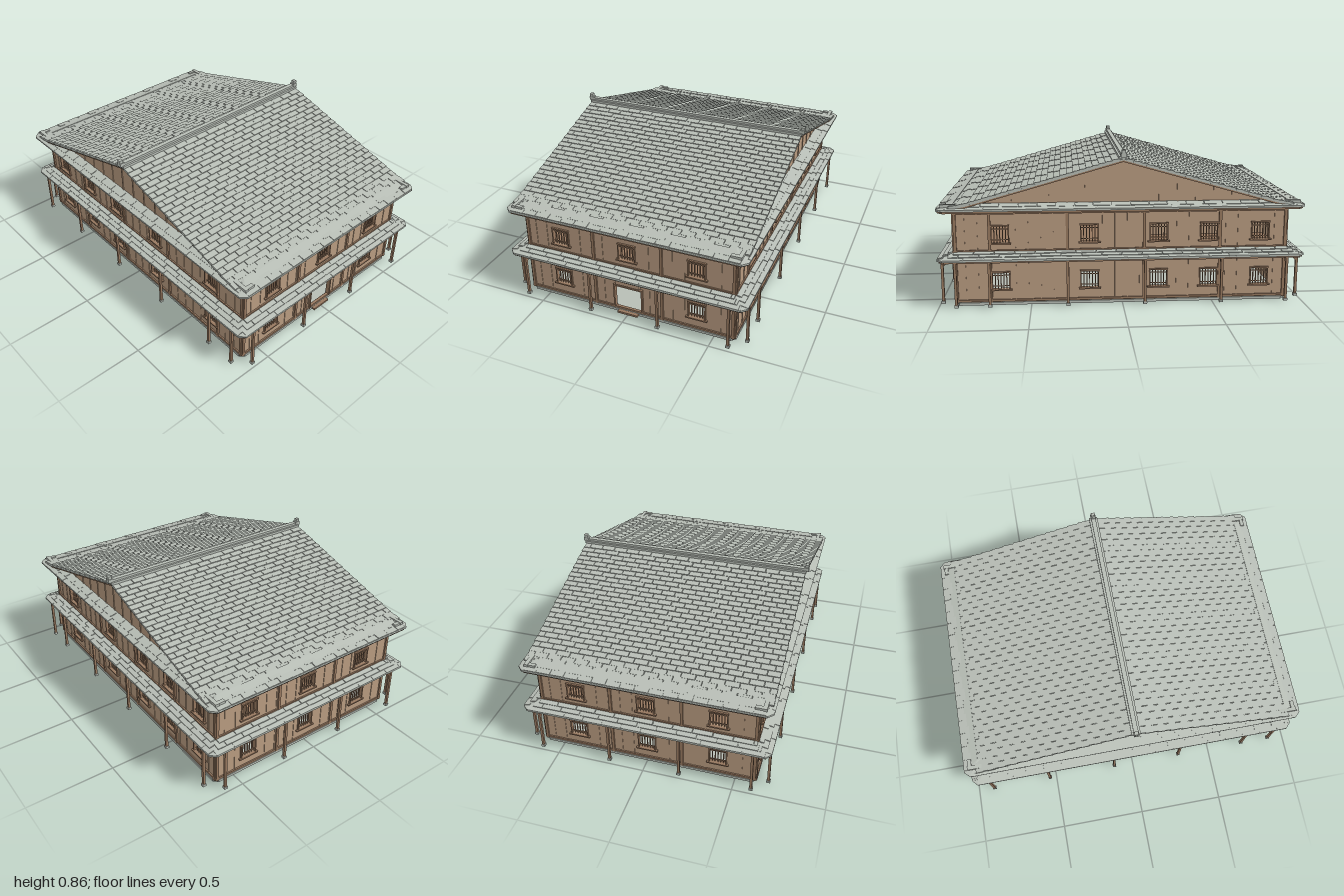
import * as THREE from 'three';
import { mergeGeometries } from 'three/addons/utils/BufferGeometryUtils.js';

const HX = 0.61, HZ = 0.91; // half size of the wall box

function box(w, h, d, x, y, z) {
  return new THREE.BoxGeometry(w, h, d).translate(x, y, z);
}

// Closed ring around the building; profile points are [offset from wall, y, corner cut],
// going up the outside, in over the top, down the inside and out underneath.
function ringGeometry(profile) {
  const outline = ([o, y, c]) => {
    const x = HX + o, z = HZ + o;
    return [[-x + c, z], [x - c, z], [x, z - c], [x, -z + c], [x - c, -z], [-x + c, -z], [-x, -z + c], [-x, z - c]]
      .map(([a, b]) => new THREE.Vector3(a, y, b));
  };
  const rings = profile.map(outline), pos = [];
  for (let j = 0; j < rings.length; j++) {
    const lo = rings[j], hi = rings[(j + 1) % rings.length];
    for (let i = 0; i < 8; i++) {
      const k = (i + 1) % 8;
      for (const p of [lo[i], lo[k], hi[k], lo[i], hi[k], hi[i]]) pos.push(p.x, p.y, p.z);
    }
  }
  const g = new THREE.BufferGeometry();
  g.setAttribute('position', new THREE.Float32BufferAttribute(pos, 3));
  g.computeVertexNormals();
  return g;
}

// One course of overlapping tiles running along x, with slightly uneven heights.
function tileRow(len, width, depth, y, z, tilt, row) {
  const tiles = [], shift = row % 2 ? width / 2 : 0;
  for (let a = -len / 2 - shift, i = 0; a < len / 2 - 0.01; a += width, i++) {
    const x0 = Math.max(a, -len / 2), x1 = Math.min(a + width, len / 2);
    if (x1 - x0 < 0.01) continue;
    const lift = ((i * 7 + row * 3) % 3) * 0.001;
    tiles.push(new THREE.BoxGeometry(x1 - x0 - 0.003, 0.011, depth).rotateX(tilt)
      .translate((x0 + x1) / 2, y + lift, z));
  }
  return tiles;
}

export function createModel() {
  const mat = (name, color) => Object.assign(new THREE.MeshStandardMaterial({ color }), { name });
  const plaster = mat('wall boards', 0xb89b80);
  const wood = mat('timber frame', 0x987960);
  const tile = mat('grey tile', 0xb8beb6);
  const model = new THREE.Group();
  model.name = 'house';
  const add = (parent, name, geo, material) => {
    const m = new THREE.Mesh(Array.isArray(geo) ? mergeGeometries(geo) : geo, material);
    m.name = name;
    parent.add(m);
    return m;
  };

  // Base and floors
  add(model, 'foundation', ringGeometry([[0.008, 0, 0.025], [0.008, 0.015, 0.025], [-0.02, 0.015, 0], [-0.02, 0, 0]]), tile);
  add(model, 'groundFloor', box(1.19, 0.016, 1.79, 0, 0.008, 0), tile);
  add(model, 'upperFloor', box(1.19, 0.012, 1.79, 0, 0.275, 0), wood);
  add(model, 'doorStep', box(0.12, 0.012, 0.025, 0, 0.008, HZ + 0.015), wood);

  // Inner partitions
  for (const y of [0.145, 0.4]) {
    for (const s of [-1, 1]) add(model, 'partition', box(0.4, 0.24, 0.01, s * 0.4, y, 0), plaster);
  }
  add(model, 'upperPartition', box(0.01, 0.24, 0.8, 0.2, 0.4, -0.5), plaster);
  add(model, 'stairRail', new THREE.BoxGeometry(0.01, 0.012, 0.32).rotateX(0.45).translate(0.1, 0.14, 0.64), wood);

  // A facade is made facing +z and turned to its side
  const sideZ = [0.665, 0.18, -0.2, -0.48, -0.765];
  const postZ = [0.9, 0.72, 0.3, -0.12, -0.54, -0.9];
  const sides = [
    { name: 'front', turn: 0, half: HX, out: HZ, win: [-0.4, 0, 0.4], posts: [-0.6, -0.2, 0.2, 0.6], door: true },
    { name: 'left', turn: Math.PI / 2, half: HZ, out: HX, win: sideZ.map(z => -z), posts: postZ.map(z => -z) },
    { name: 'back', turn: Math.PI, half: HX, out: HZ, win: [-0.4, 0, 0.4], posts: [-0.6, -0.2, 0.2, 0.6] },
    { name: 'right', turn: -Math.PI / 2, half: HZ, out: HX, win: sideZ, posts: postZ },
  ];
  for (const s of sides) {
    const g = new THREE.Group();
    g.name = s.name + 'Facade';
    g.rotation.y = s.turn;
    model.add(g);
    const w = s.half - (s.half === HZ ? 0.012 : 0), o = s.out;

    // Wall with openings
    const shape = new THREE.Shape([[-w, 0.012], [w, 0.012], [w, 0.56], [-w, 0.56]].map(p => new THREE.Vector2(...p)));
    const hole = (x0, x1, y0, y1) => shape.holes.push(new THREE.Path(
      [[x0, y0], [x0, y1], [x1, y1], [x1, y0]].map(p => new THREE.Vector2(...p))));
    const windows = [], frames = [];
    for (const u of s.win) {
      for (const y of [0.135, 0.395]) {
        if (!(s.door && u === 0 && y < 0.2)) windows.push([u, y]);
      }
    }
    for (const [u, y] of windows) {
      hole(u - 0.047, u + 0.047, y - 0.046, y + 0.046);
      for (const e of [-1, 1]) {
        frames.push(box(0.007, 0.1, 0.024, u + e * 0.048, y, o - 0.004));
        frames.push(box(e < 0 ? 0.122 : 0.106, 0.008, e < 0 ? 0.034 : 0.026, u, y + e * 0.05, o - 0.003));
        frames.push(box(0.094, 0.004, 0.005, u, y + e * 0.03, o - 0.005));
      }
      for (let i = -2; i <= 2; i++) frames.push(box(0.005, 0.092, 0.006, u + i * 0.0155, y, o - 0.006));
    }
    if (s.door) hole(-0.08, 0.08, 0.022, 0.17);
    add(g, s.name + 'Wall', new THREE.ExtrudeGeometry(shape, { depth: 0.014, bevelEnabled: false })
      .translate(0, 0, o - 0.014), plaster);
    add(g, 'latticeWindows', frames, wood);

    // Board strips, left out where there are openings
    const strips = [];
    for (let u = -s.half + 0.055; u < s.half - 0.03; u += 0.068) {
      if (s.win.some(v => Math.abs(u - v) < 0.066 + (s.door && v === 0 ? 0.03 : 0))) continue;
      for (const y of [0.14, 0.41]) strips.push(box(0.006, 0.225, 0.004, u, y, o + 0.001));
    }
    add(g, 'boardStrips', strips, plaster);

    // Sills, beams and wall posts
    const timber = [[0.025, 0.012], [0.258, 0.014], [0.305, 0.012], [0.517, 0.018]]
      .map(([y, h]) => box(s.half * 2 + 0.01, h, 0.016, 0, y, o));
    const uprights = s.half === HX ? [-0.604, -0.2, 0.2, 0.604] : [-0.904, ...s.posts.slice(1, -1), 0.904];
    for (const u of uprights) timber.push(box(0.016, 0.51, 0.018, u, 0.27, o));
    add(g, 'timberFrame', timber, wood);

    // Veranda posts with stone feet and braces
    const posts = [], feet = [];
    for (const u of s.posts) {
      posts.push(box(0.014, 0.236, 0.014, u, 0.142, o + 0.07));
      posts.push(new THREE.BoxGeometry(0.01, 0.05, 0.01).rotateX(-0.75).translate(u, 0.237, o + 0.053));
      posts.push(box(0.01, 0.01, 0.08, u, 0.256, o + 0.035));
      feet.push(box(0.021, 0.014, 0.021, u, 0.018, o + 0.07));
    }
    posts.push(box(s.half * 2 + 0.12, 0.01, 0.014, 0, 0.262, o + 0.07));
    add(g, 'verandaPosts', posts, wood);
    add(g, 'postFeet', feet, tile);

    // Tile courses on the veranda roof and, above the gable walls, on the side eaves
    const courses = [0, 1, 2].flatMap(r =>
      tileRow((s.half + 0.055 - r * 0.025) * 2, 0.11, 0.036, 0.276 + r * 0.01, o + 0.068 - r * 0.026, 0.2, r));
    if (s.half === HZ) {
      for (const r of [0, 1]) courses.push(...tileRow(1.88 - r * 0.06, 0.1, 0.04, 0.549 + r * 0.01, o + 0.063 - r * 0.03, 0.25, r));
    }
    add(g, 'eaveTiles', courses, tile);

    if (s.door) {
      add(g, 'doorFrame', [-1, 1].map(e => box(0.009, 0.155, 0.024, e * 0.083, 0.098, o))
        .concat([box(0.175, 0.009, 0.026, 0, 0.174, o), box(0.16, 0.007, 0.034, 0, 0.226, o + 0.01)]), wood);
      add(g, 'doorBoard', box(0.145, 0.034, 0.014, 0, 0.201, o + 0.008), plaster);
    }
  }

  // Veranda roof and upper eaves: tile on top, timber beneath
  add(model, 'verandaRoof', ringGeometry([[0.086, 0.266, 0.03], [0.086, 0.276, 0.03], [0, 0.3, 0], [0, 0.282, 0]]), tile);
  add(model, 'verandaSoffit', ringGeometry([[0.078, 0.26, 0.03], [0.078, 0.267, 0.03], [0, 0.283, 0], [0, 0.268, 0]]), wood);
  add(model, 'upperEave', ringGeometry([[0.082, 0.538, 0.03], [0.082, 0.549, 0.03], [-0.005, 0.572, 0], [-0.005, 0.538, 0]]), tile);
  add(model, 'upperSoffit', ringGeometry([[0.075, 0.528, 0.03], [0.075, 0.539, 0.03], [-0.01, 0.539, 0], [-0.01, 0.528, 0]]), wood);

  // Main roof: timber deck, tile bed and tile courses, all on one slope line
  const slope = z => {
    const a = Math.abs(z);
    return a > 0.84 ? 0.57 - (a - 0.84) * 0.17 : 0.57 + (0.84 - a) * 0.284;
  };
  const deck = (zMax, low, high, len) => {
    const zs = [-zMax, -0.84, 0, 0.84, zMax];
    const pts = zs.map(z => new THREE.Vector2(-z, slope(z) + low))
      .concat([...zs].reverse().map(z => new THREE.Vector2(-z, slope(z) + high)));
    return new THREE.ExtrudeGeometry(new THREE.Shape(pts), { depth: len, bevelEnabled: false })
      .translate(0, 0, -len / 2).rotateY(Math.PI / 2);
  };
  add(model, 'roofDeck', deck(0.965, -0.016, -0.007, 1.345), wood);
  add(model, 'roofBed', deck(0.975, -0.007, 0.001, 1.355), tile);
  const courses = [], rows = 28;
  for (let r = 0; r < rows; r++) {
    const z = 0.97 - (r / rows) * 0.965;
    const len = r < 2 ? 1.31 : 1.364 - (r % 2) * 0.006;
    for (const turn of [0, Math.PI]) {
      for (const t of tileRow(len, 0.078, 0.042, slope(z) + 0.003, z, 0.16, r)) courses.push(t.rotateY(turn));
    }
  }
  add(model, 'roofTiles', courses, tile);

  // Gable walls with upright strips
  for (const s of [-1, 1]) {
    const tri = new THREE.Shape([[-0.84, 0.55], [0.84, 0.55], [0.84, 0.56], [0, 0.805], [-0.84, 0.56]].map(p => new THREE.Vector2(...p)));
    add(model, 'gableWall', new THREE.ExtrudeGeometry(tri, { depth: 0.014, bevelEnabled: false })
      .translate(0, 0, -0.007).rotateY(Math.PI / 2).translate(s * 0.607, 0, 0), plaster);
    const strips = [];
    for (let i = -7; i <= 7; i++) {
      const top = slope(i * 0.1) - 0.015;
      strips.push(box(0.005, top - 0.56, 0.007, s * 0.615, (top + 0.56) / 2, i * 0.1));
    }
    add(model, 'gableStrips', strips, plaster);

    // Corner ridge pieces and ridge ends
    for (const e of [-1, 1]) {
      add(model, 'cornerRidge', [box(0.022, 0.014, 0.1, s * 0.645, 0.566, e * 0.92),
        box(0.06, 0.014, 0.022, s * 0.625, 0.563, e * 0.955)], tile);
    }
    add(model, 'ridgeEnd', [box(0.03, 0.022, 0.03, s * 0.68, 0.83, 0), box(0.02, 0.034, 0.022, s * 0.684, 0.841, 0)], tile);
  }

  // Ridge
  add(model, 'ridge', [box(1.365, 0.014, 0.05, 0, 0.816, 0), box(1.36, 0.016, 0.026, 0, 0.828, 0)], tile);
  return model;
}
